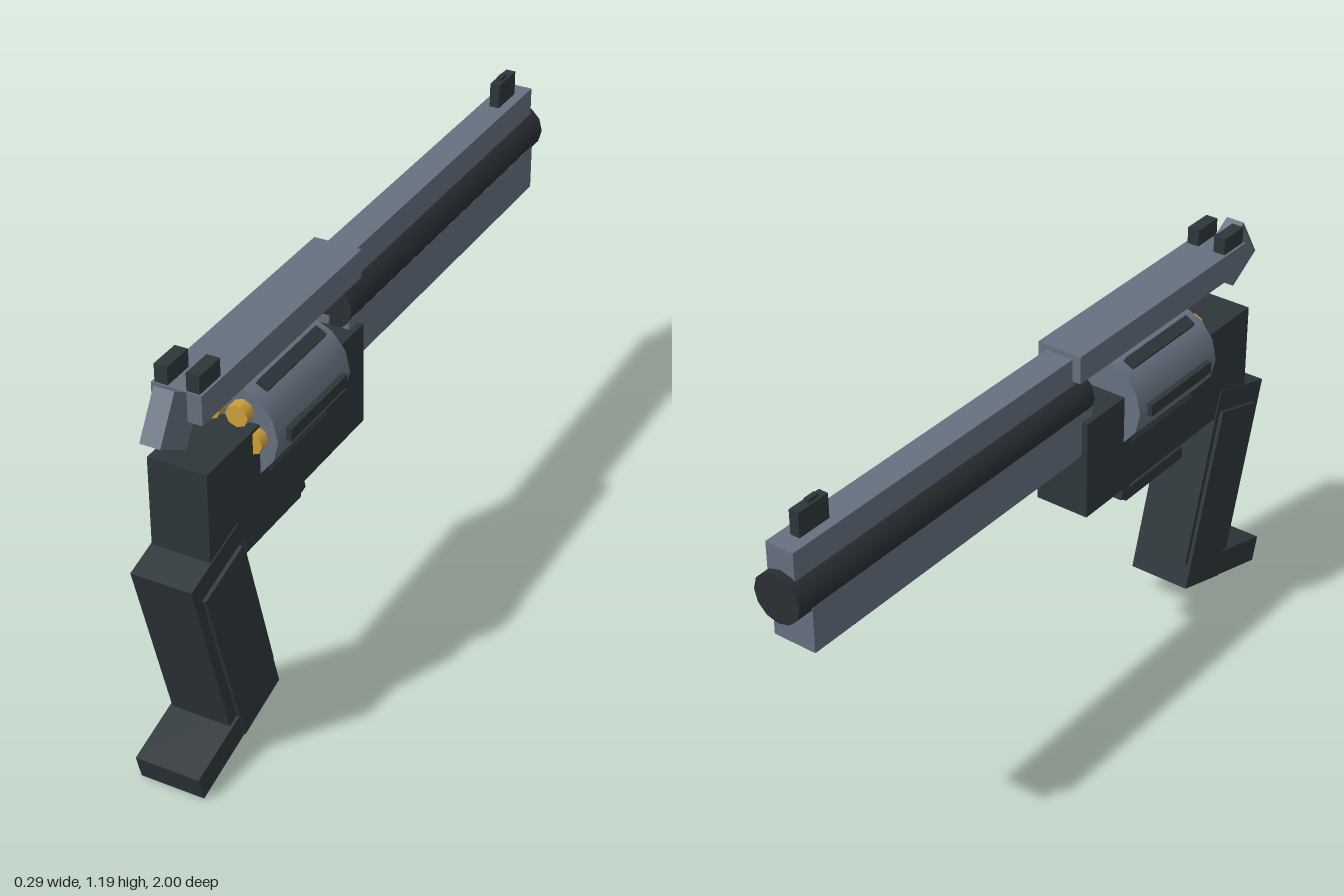
import * as THREE from 'three';

export function createModel() {
  const root = new THREE.Group();
  const material = (name, color) => {
    const m = new THREE.MeshStandardMaterial({ color });
    m.name = name;
    return m;
  };
  const steel = material('blue grey steel', 0x667080);
  const dark = material('dark frame', 0x2e363b);
  const black = material('barrel black', 0x2b3035);
  const brass = material('brass', 0xcfa03a);

  const add = (name, geometry, mat, x, y, z, parent = root) => {
    const mesh = new THREE.Mesh(geometry, mat);
    mesh.name = name;
    mesh.position.set(x, y, z);
    parent.add(mesh);
    return mesh;
  };
  // Box given by its width and its y and z limits
  const block = (name, mat, w, y0, y1, z0, z1, x = 0) =>
    add(name, new THREE.BoxGeometry(w, y1 - y0, z1 - z0), mat, x, (y0 + y1) / 2, (z0 + z1) / 2);
  // Box given by its centre and tilted about the x axis
  const tilted = (name, mat, w, h, d, y, z, angle) => {
    const mesh = add(name, new THREE.BoxGeometry(w, h, d), mat, 0, y, z);
    mesh.rotation.x = angle;
    return mesh;
  };
  // Cylinder lying along z
  const rod = (name, mat, r, sides, x, y, z0, z1, parent = root) => {
    const g = new THREE.CylinderGeometry(r, r, z1 - z0, sides).rotateX(Math.PI / 2);
    return add(name, g, mat, x, y, (z0 + z1) / 2, parent);
  };

  // Frame and top strap
  block('frame', dark, 0.164, 0.635, 0.93, 0.115, 0.89);
  block('topStrap', steel, 0.136, 1.055, 1.136, 0.1, 0.877);

  // Barrel with rib above and lug below
  rod('barrel', black, 0.071, 12, 0, 0.985, -1, 0.16);
  block('barrelRib', steel, 0.084, 1.0, 1.12, -0.98, 0.12);
  block('barrelLug', steel, 0.128, 0.825, 0.957, -0.95, 0.16);

  // Sights
  block('frontSight', dark, 0.028, 1.12, 1.19, -0.925, -0.82);
  block('frontSightBead', dark, 0.014, 1.19, 1.2, -0.88, -0.845);
  for (const side of [-1, 1]) {
    block('rearSight', dark, 0.036, 1.136, 1.185, 0.78, 0.872, side * 0.043);
  }

  // Hammer
  tilted('hammer', steel, 0.056, 0.137, 0.128, 1.074, 0.907, -0.54);

  // Rotating cylinder with raised bars and cartridges
  const drum = new THREE.Group();
  drum.name = 'cylinder';
  drum.position.set(0, 0.893, 0);
  root.add(drum);
  const body = rod('cylinderBody', steel, 0.133, 14, 0, 0, 0.283, 0.647, drum);
  body.rotation.z = Math.PI / 2;
  for (let i = 0; i < 6; i++) {
    const a = i * Math.PI / 3;
    const c = Math.cos(a), s = Math.sin(a);
    const bar = add('cylinderBar', new THREE.BoxGeometry(0.036, 0.035, 0.284), dark,
      c * 0.128, s * 0.128, 0.462, drum);
    bar.rotation.z = a;
    rod('cartridge', brass, 0.031, 8, c * 0.077, s * 0.077, 0.6, 0.68, drum);
  }

  // Trigger and guard
  tilted('trigger', steel, 0.03, 0.1, 0.04, 0.615, 0.545, 0.3);
  block('triggerGuard', dark, 0.07, 0.532, 0.57, 0.37, 0.647);
  tilted('guardPost', dark, 0.07, 0.12, 0.035, 0.602, 0.375, 0.22);

  // Grip
  tilted('gripBody', dark, 0.17, 0.54, 0.232, 0.4225, 0.797, 0.28);
  tilted('gripPanel', dark, 0.191, 0.554, 0.183, 0.358, 0.77, 0.29);
  tilted('gripFoot', dark, 0.184, 0.078, 0.251, 0.08, 0.869, 0.28);

  return root;
}
